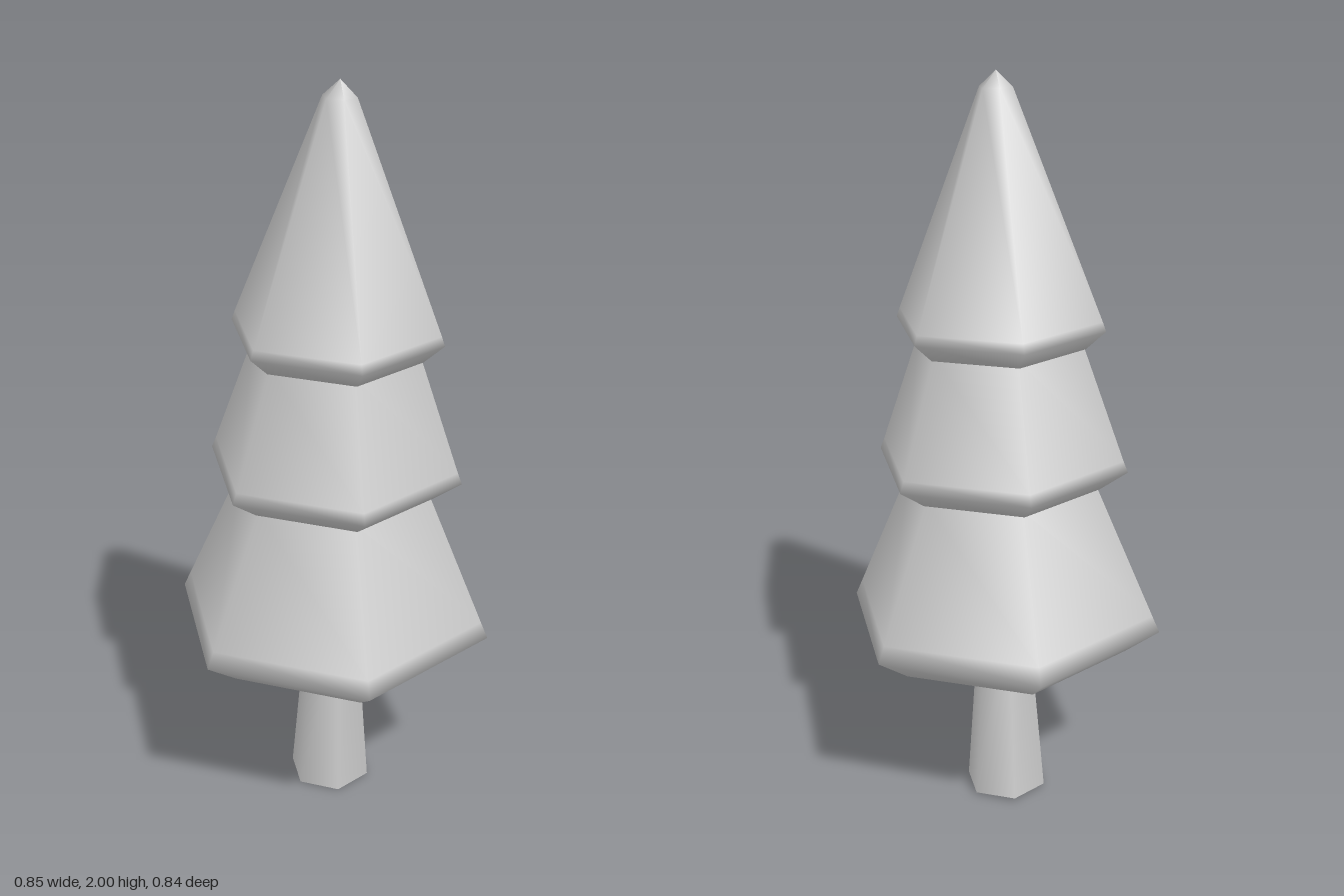
import * as THREE from 'three';

const SIDES = 6;
const TURN = THREE.MathUtils.degToRad(44.5);

export function createModel() {
  const material = new THREE.MeshStandardMaterial({ color: 0xcccccc });
  const tree = new THREE.Group();
  tree.name = 'tree';

  const add = (name, geometry) => {
    const mesh = new THREE.Mesh(geometry, material);
    mesh.name = name;
    tree.add(mesh);
    return mesh;
  };

  // Tapered trunk with a flat foot
  const trunkHeight = 0.5;
  add('trunk', new THREE.CylinderGeometry(0.073, 0.113, trunkHeight, SIDES, 1, false, TURN))
    .position.y = trunkHeight / 2;

  // Foliage tiers: [radius, height] from the underside, over the bevelled rim, up the slope
  const tiers = {
    lowerFoliage: [[0, 0.46], [0.345, 0.46], [0.438, 0.53], [0.418, 0.575], [0.26, 0.935]],
    middleFoliage: [[0, 0.925], [0.27, 0.925], [0.345, 0.98], [0.333, 1.01], [0.222, 1.32]],
    upperFoliage: [[0, 1.305], [0.23, 1.305], [0.283, 1.355], [0.274, 1.38], [0.044, 1.955], [0, 1.996]],
  };
  for (const [name, profile] of Object.entries(tiers)) {
    const points = profile.map(([r, y]) => new THREE.Vector2(r, y));
    add(name, new THREE.LatheGeometry(points, SIDES, TURN));
  }

  // The whole tree leans slightly forward
  tree.rotation.set(0.045, 0, 0.009);
  tree.position.set(0.018, 0.006, -0.022);

  const model = new THREE.Group();
  model.name = 'leaningTree';
  model.add(tree);
  return model;
}
